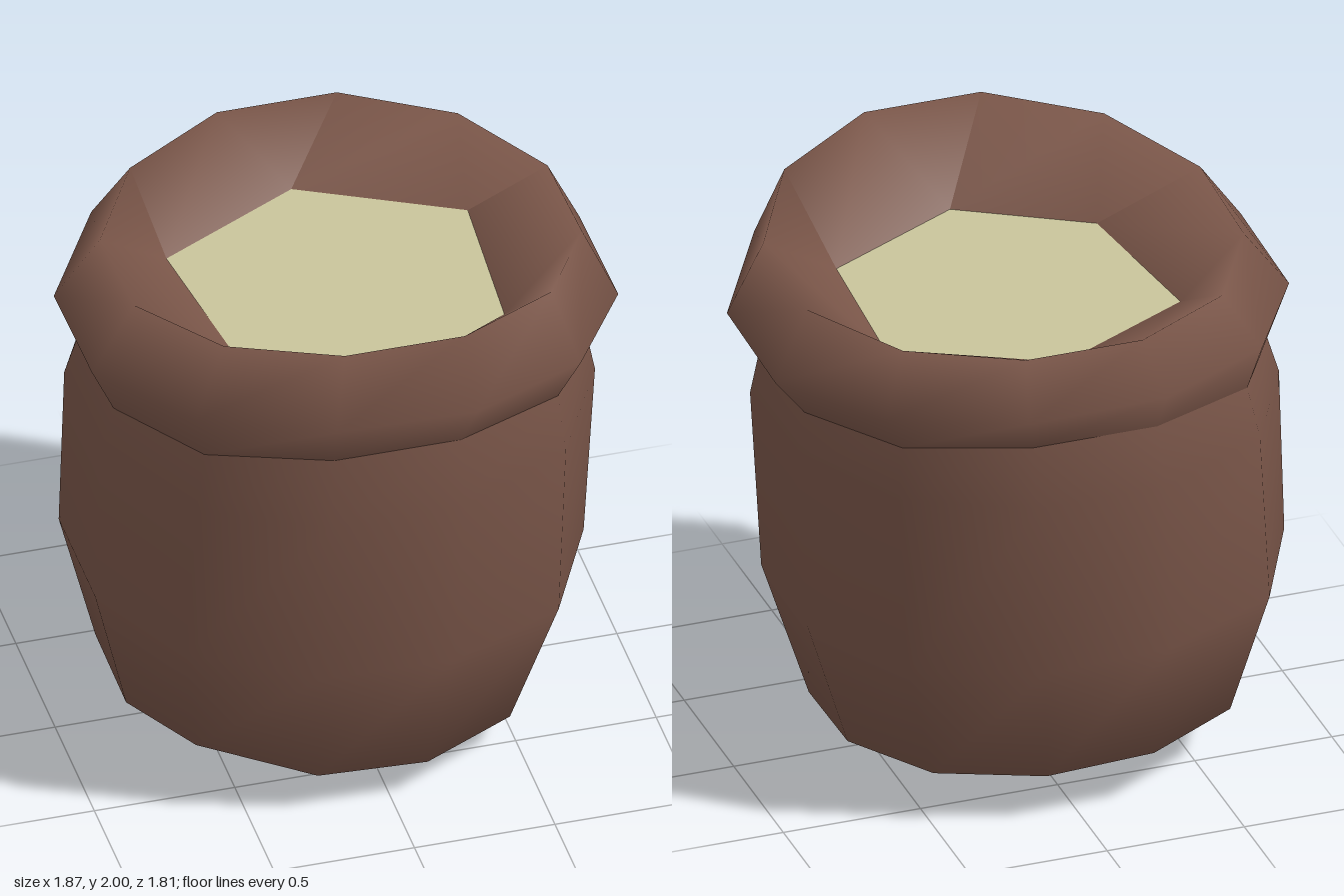
import * as THREE from 'three';

const SIDES = 12;

// Skin a list of closed rings, each a rule from (sin, cos, index) to [x, y, z].
function skin(name, rings, material) {
  const positions = [], index = [];
  rings.forEach((rule, r) => {
    for (let i = 0; i < SIDES; i++) {
      const a = ((i + 0.5) / SIDES) * Math.PI * 2;
      positions.push(...rule(Math.sin(a), Math.cos(a), i));
      if (r === rings.length - 1) continue;
      const j = (i + 1) % SIDES, lo = r * SIDES, hi = lo + SIDES;
      index.push(lo + i, lo + j, hi + j, lo + i, hi + j, hi + i);
    }
  });
  const geometry = new THREE.BufferGeometry();
  geometry.setAttribute('position', new THREE.Float32BufferAttribute(positions, 3));
  geometry.setIndex(index);
  geometry.computeVertexNormals();
  const mesh = new THREE.Mesh(geometry, material);
  mesh.name = name;
  return mesh;
}

// Slightly squared ring of cloth; bulge pushes out the sagging front corner.
function clothRing(radius, corner, cx, cz, height, bulge = 0, lift = 0) {
  return (s, c) => {
    const diagonal = Math.abs(s * c) > 0.4 ? 1 : 0;
    const sag = diagonal && s < 0 && c > 0 ? 1 : 0;
    const r = radius + diagonal * corner + sag * bulge;
    return [cx + s * r, height(s, c) + sag * lift, cz + c * r];
  };
}

export function createModel() {
  const cloth = new THREE.MeshStandardMaterial({ color: 0x795548 });
  cloth.name = 'brown cloth';
  const grain = new THREE.MeshStandardMaterial({ color: 0xc9c59b });
  grain.name = 'pale grain';

  const model = new THREE.Group();
  model.name = 'openSack';

  // Seam where the rolled cuff meets the body
  const seam = clothRing(0.87, 0.02, -0.012, -0.01,
    (s, c) => 1.475 + 0.02 * c + 0.09 * c * c);

  // Body, from the centre of the base up to the seam
  model.add(skin('sackBody', [
    () => [-0.05, 0, 0],
    clothRing(0.32, 0, -0.05, 0, () => 0),
    clothRing(0.755, 0.01, -0.07, -0.01, (s, c) => 0.17 - 0.035 * s - 0.02 * c, 0.07, 0.09),
    clothRing(0.9, 0.035, -0.05, -0.01, (s) => 0.67 - 0.03 * s, 0.01, 0.03),
    clothRing(0.91, 0.02, -0.02, -0.01, () => 1.32),
    seam,
  ], cloth));

  // Mouth: pairs of cuff points gather into six corners around the filling
  const corners = [[0, 0.585], [0.51, 0.32], [0.55, -0.29], [0, -0.57], [-0.52, -0.3], [-0.44, 0.32]];
  const mouth = (s, c, i) => {
    const [x, z] = corners[Math.floor((i + 1) / 2) % 6];
    return [x, 1.69, z];
  };

  // Rolled cuff: seam, outer bulge, crest, then down inside to the filling
  model.add(skin('rolledCuff', [
    seam,
    (s, c) => [s * 0.97, 1.64 + 0.04 * c + 0.075 * c * c - 0.02 * s, c * 0.938],
    (s, c) => [s * 0.825 + 0.02, 1.885 + 0.065 * c + 0.055 * c * c, c * 0.845 - 0.01],
    mouth,
  ], cloth));

  // Filling
  model.add(skin('grainFilling', [mouth, () => [0, 1.69, 0]], grain));

  return model;
}
